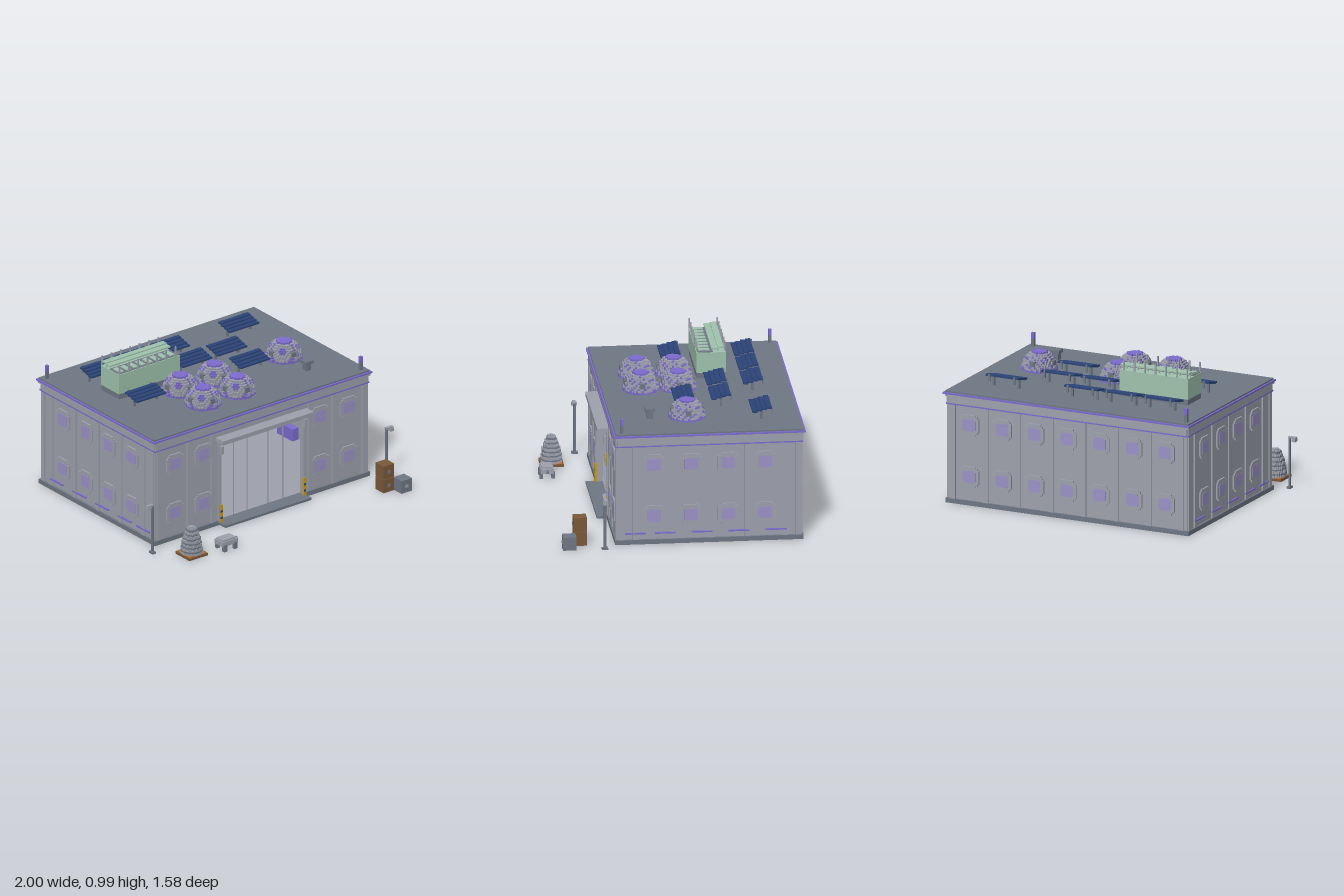
import * as THREE from 'three';
import { mergeGeometries } from 'three/addons/utils/BufferGeometryUtils.js';

const mat = (name, color) => Object.assign(new THREE.MeshStandardMaterial({ color }), { name });
const M = {
  wall: mat('wallGrey', 0x9fa2ae), steel: mat('darkSteel', 0x6f7885), purple: mat('purpleTrim', 0x7d6cd0),
  glass: mat('lavenderGlass', 0x9d93c8), navy: mat('navyPanel', 0x2c4478), green: mat('paleGreen', 0xa0c4ae),
  brown: mat('crateBrown', 0x7b5a3a), yellow: mat('safetyYellow', 0xd09c0c), orange: mat('orange', 0xc4733a),
  floor: mat('floorGrey', 0x9c9c9c),
};

function add(parent, name, geo, material, x = 0, y = 0, z = 0) {
  const m = new THREE.Mesh(geo, material);
  m.name = name;
  m.position.set(x, y, z);
  parent.add(m);
  return m;
}
// Box given by its limits on each axis
const span = (p, name, m, x0, x1, y0, y1, z0, z1) =>
  add(p, name, new THREE.BoxGeometry(x1 - x0, y1 - y0, z1 - z0), m, (x0 + x1) / 2, (y0 + y1) / 2, (z0 + z1) / 2);
// Box given by centre, size and the height of its underside
const block = (p, name, m, x, y, z, w, h, d) => span(p, name, m, x - w / 2, x + w / 2, y, y + h, z - d / 2, z + d / 2);
function group(parent, name, x = 0, y = 0, z = 0, ry = 0) {
  const g = new THREE.Group();
  g.name = name;
  g.position.set(x, y, z);
  g.rotation.y = ry;
  parent.add(g);
  return g;
}

// Stepped window seen on both faces of the wall
function addWindow(p, x, y) {
  const g = group(p, 'window', x, y, -0.015);
  for (const [w, h] of [[0.09, 0.138], [0.136, 0.092], [0.114, 0.116]]) add(g, 'frame', new THREE.BoxGeometry(w, h, 0.052), M.wall);
  add(g, 'pane', new THREE.BoxGeometry(0.09, 0.064, 0.056), M.glass);
  add(g, 'pane', new THREE.BoxGeometry(0.074, 0.08, 0.056), M.glass);
}

// Wall facing +z in its own frame, with an optional doorway of half-width door
function addWall(p, name, length, windows, ribs, door = 0) {
  const h = length / 2, g = group(p, name);
  for (const s of [-1, 1]) {
    const [a, b] = [s * door, s * h].sort((q, r) => q - r), e = s * (h + 0.012);
    span(g, 'panel', M.wall, a, b, 0.01, 0.725, -0.03, 0);
    span(g, 'plinth', M.steel, Math.min(a, e), Math.max(b, e), 0, 0.03, -0.01, 0.014);
  }
  if (door) span(g, 'header', M.wall, -door, door, 0.58, 0.725, -0.03, 0);
  span(g, 'topRail', M.wall, -h, h, 0.667, 0.725, 0, 0.01);
  span(g, 'trimLine', M.purple, -h - 0.01, h + 0.01, 0.658, 0.667, 0, 0.011);
  for (const x of ribs) span(g, 'rib', M.wall, x - 0.017, x + 0.017, 0.03, 0.658, -0.04, 0.01);
  for (const x of windows) for (const y of [0.19, 0.535]) addWindow(g, x, y);
  return g;
}

// Hollow heap of small cubes: radiusAt(height) gives its outline, colourOf picks a material name
function addCubes(p, name, size, height, radiusAt, colourOf) {
  const parts = {}, layers = Math.round(height / size);
  const inside = (i, j, k) => j < layers && Math.hypot(i, k) * size <= radiusAt((j + 0.5) * size);
  for (let j = 0; j < layers; j++) for (let i = -9; i <= 9; i++) for (let k = -9; k <= 9; k++) {
    if (!inside(i, j, k)) continue;
    const hidden = inside(i + 1, j, k) && inside(i - 1, j, k) && inside(i, j, k + 1) && inside(i, j, k - 1) && inside(i, j + 1, k);
    if (hidden) continue;
    const box = new THREE.BoxGeometry(size, size, size).translate(i * size, (j + 0.5) * size, k * size);
    (parts[colourOf(i, j, k)] ??= []).push(box);
  }
  for (const key in parts) add(p, name, mergeGeometries(parts[key]), M[key]);
}

// Roof dome, purple at the rim, on scattered cubes and at the crown
function addDome(p, x, z) {
  const g = group(p, 'roofDome', x, 0.748, z);
  addCubes(g, 'domeCubes', 0.0122, 0.122, y => 0.112 * Math.sqrt(Math.max(0, 1 - (y / 0.128) ** 2)) + 0.002,
    (i, j, k) => {
      const r = Math.hypot(i, k);
      return j === 0 || j === 9 || (r > 2 && r < 3) || (i * 5 + j * 3 + k * 7 + 700) % 4 === 0 ? 'purple' : 'wall';
    });
  for (let a = 0; a < 4; a++) {
    const s = group(g, 'buttress', 0, 0, 0, a * Math.PI / 2);
    span(s, 'buttressBlock', M.steel, -0.018, 0.018, 0, 0.07, 0.08, 0.108);
  }
}

// Stepped solar panel on two posts, rising towards the back
function addSolar(p, x, z) {
  const g = group(p, 'solarPanel', x, 0, z);
  for (let i = 0; i < 4; i++) block(g, 'panelStrip', M.navy, 0, 0.8 + i * 0.008, 0.048 - i * 0.031, 0.24, 0.011, 0.032);
  for (const s of [-1, 1]) {
    block(g, 'post', M.steel, s * 0.09, 0.745, 0, 0.014, 0.06, 0.014);
    block(g, 'clamp', M.steel, s * 0.09, 0.79, -0.065, 0.012, 0.05, 0.008);
  }
}

// Bell-shaped mound on a square tray
function addMound(p, x, z, tray, trayHeight, colours) {
  const g = group(p, 'mound', x, 0, z);
  block(g, 'tray', M[tray], 0, 0.001, 0, 0.15, trayHeight, 0.15);
  const heap = group(g, 'heap', 0, trayHeight, 0);
  addCubes(heap, 'heapCubes', 0.0092, 0.184, y => 0.069 * Math.sqrt(Math.max(0, 1 - (y / 0.19) ** 1.6)),
    (i, j) => colours[j % colours.length]);
  return g;
}

export function createModel() {
  const root = new THREE.Group();
  root.name = 'baseStation';
  const X = 0.862, ZF = 0.422, ZB = -0.768, ZC = (ZF + ZB) / 2, D = ZF - ZB;

  // Floor and walls
  span(root, 'foundation', M.floor, -X + 0.01, X - 0.01, 0.005, 0.012, ZB + 0.01, ZF - 0.01);
  span(root, 'floor', M.wall, -X + 0.03, X - 0.03, 0.012, 0.018, ZB + 0.03, ZF);
  span(root, 'floorLight', M.purple, X - 0.036, X - 0.012, 0.003, 0.022, -0.15, ZF - 0.012);
  span(root, 'floorLight', M.purple, 0.42, X - 0.036, 0.003, 0.022, ZF - 0.034, ZF - 0.012);
  const row = [-3, -2, -1, 0, 1, 2, 3].map(i => i * 0.235);
  const front = addWall(root, 'frontWall', 2 * X, [-0.705, -0.475, 0.475, 0.705], [-0.835, -0.59, -0.395, 0.395, 0.59, 0.835], 0.338);
  front.position.z = ZF;
  const back = addWall(root, 'backWall', 2 * X, row, [-3.5, -2.5, -1.5, -0.5, 0.5, 1.5, 2.5, 3.5].map(i => i * 0.235));
  back.position.z = ZB;
  back.rotation.y = Math.PI;
  for (const s of [-1, 1]) {
    // Local x on a side wall runs along -s * z
    const local = z => -s * (z - ZC);
    const w = addWall(root, s > 0 ? 'leftWall' : 'rightWall', D, [0.185, -0.055, -0.295, -0.535].map(local),
      [0.4, 0.305, 0.065, -0.175, -0.415, -0.66, -0.745].map(local));
    w.position.set(s * X, 0, ZC);
    w.rotation.y = s * Math.PI / 2;
    for (const x of [0.305, 0.11, -0.125, -0.365, -0.605].map(local)) span(w, 'lowStripe', M.purple, x - 0.068, x + 0.068, 0.067, 0.076, 0, 0.0115);
  }

  // Roof slab with purple rim
  span(root, 'cornice', M.wall, -0.878, 0.878, 0.71, 0.727, -0.783, 0.436);
  span(root, 'roofRim', M.purple, -0.888, 0.888, 0.727, 0.738, -0.795, 0.443);
  span(root, 'roofSlab', M.steel, -0.876, 0.876, 0.73, 0.748, -0.783, 0.431);
  for (const [x, z] of [[-0.84, -0.74], [0.835, 0.39]]) {
    block(root, 'roofBeacon', M.steel, x, 0.748, z, 0.02, 0.05, 0.02);
    block(root, 'roofBeaconTop', M.purple, x, 0.798, z, 0.02, 0.042, 0.02);
  }

  // Doorway
  span(root, 'canopy', M.wall, -0.37, 0.37, 0.592, 0.62, ZF, 0.5);
  span(root, 'threshold', M.steel, -0.35, 0.35, 0.002, 0.018, ZF - 0.03, 0.5);
  for (const x of [-0.2, -0.09, 0.08, 0.2]) block(root, 'mullion', M.wall, x, 0.018, 0.39, 0.006, 0.562, 0.006);
  for (const s of [-1, 1]) {
    block(root, 'doorJamb', M.wall, s * 0.345, 0.018, ZF, 0.022, 0.575, 0.03);
    block(root, 'canopyBracket', M.wall, s * 0.34, 0.505, 0.444, 0.022, 0.055, 0.026);
    block(root, 'doorGuard', M.yellow, s * 0.338, 0.012, 0.438, 0.018, 0.13, 0.016);
    for (const y of [0.045, 0.09]) block(root, 'guardStripe', M.navy, s * 0.338, y, 0.4465, 0.018, 0.014, 0.002);
  }

  // Roof equipment
  for (const [x, z] of [[-0.285, -0.06], [-0.005, -0.06], [0.56, -0.06], [-0.285, 0.18], [-0.005, 0.18]]) addDome(root, x, z);
  for (const [x, z] of [[-0.565, -0.535], [-0.285, -0.535], [-0.005, -0.535], [0.56, -0.535],
    [-0.005, -0.3], [0.28, -0.3], [-0.565, -0.06], [0.28, -0.06]]) addSolar(root, x, z);
  block(root, 'ventStem', M.steel, 0.56, 0.748, 0.18, 0.04, 0.05, 0.04);
  block(root, 'ventCap', M.steel, 0.56, 0.795, 0.18, 0.062, 0.022, 0.062);

  // Rooftop planter house
  const gh = group(root, 'planterHouse');
  span(gh, 'base', M.steel, -0.672, -0.182, 0.748, 0.785, -0.386, -0.2);
  span(gh, 'body', M.green, -0.675, -0.18, 0.785, 0.922, -0.388, -0.198);
  span(gh, 'deck', M.steel, -0.67, -0.185, 0.922, 0.926, -0.305, -0.206);
  span(gh, 'lid', M.green, -0.675, -0.18, 0.949, 0.959, -0.375, -0.335);
  span(gh, 'lidLip', M.green, -0.675, -0.18, 0.941, 0.951, -0.335, -0.295);
  for (let i = 0; i < 8; i++) block(gh, 'bar', M.green, -0.64 + i * 0.059, 0.924, -0.25, 0.034, 0.008, 0.07);
  for (let i = 0; i < 7; i++) {
    const x = -0.667 + i * 0.076;
    block(gh, 'frontPost', M.wall, x, 0.922, -0.203, 0.009, 0.068, 0.009);
    block(gh, 'backPost', M.wall, x, 0.922, -0.384, 0.009, 0.068, 0.009);
    block(gh, 'lidProp', M.green, x, 0.922, -0.34, 0.008, 0.028, 0.008);
  }

  // Lamp posts
  for (const s of [-1, 1]) {
    const g = group(root, 'lampPost', s * 0.952, 0, 0.51);
    block(g, 'foot', M.steel, 0, 0, 0, 0.026, 0.014, 0.04);
    block(g, 'pole', M.steel, 0, 0.01, 0, 0.012, 0.33, 0.016);
    block(g, 'arm', M.wall, s * 0.021, 0.335, 0, 0.054, 0.012, 0.022);
    block(g, 'lamp', M.wall, s * 0.034, 0.316, 0, 0.026, 0.022, 0.034);
  }

  // Outdoor crates
  for (const y of [0, 0.096]) {
    block(root, 'brownCrate', M.brown, 0.822, y, 0.66, 0.086, 0.092, 0.086);
    block(root, 'crateLatch', M.steel, 0.822, y + 0.035, 0.705, 0.02, 0.02, 0.008);
  }
  block(root, 'greyCrate', M.steel, 0.908, 0, 0.737, 0.086, 0.088, 0.086);
  block(root, 'crateLatch', M.wall, 0.908, 0.034, 0.781, 0.02, 0.02, 0.006);

  // Mound and rover by the door
  const mound = addMound(root, -0.765, 0.68, 'brown', 0.016, ['wall', 'wall', 'steel']);
  block(mound, 'trayInlay', M.orange, 0, 0.017, 0, 0.13, 0.003, 0.13);
  const rover = group(root, 'rover', -0.525, 0, 0.735);
  block(rover, 'body', M.wall, 0, 0.035, 0, 0.125, 0.032, 0.085);
  block(rover, 'topPlate', M.wall, -0.005, 0.067, 0, 0.1, 0.01, 0.07);
  block(rover, 'nose', M.steel, 0.072, 0.044, 0, 0.022, 0.014, 0.016);
  for (const x of [-0.042, 0.04]) for (const z of [-0.038, 0.038]) block(rover, 'leg', M.steel, x, 0, z, 0.026, 0.045, 0.022);

  // Crane beam and hanging lamp inside
  span(root, 'craneBeam', M.steel, -0.82, 0.82, 0.512, 0.56, -0.2, -0.15);
  span(root, 'craneEdge', M.yellow, -0.82, 0.82, 0.502, 0.512, -0.2, -0.148);
  block(root, 'lampHousing', M.wall, 0, 0.462, -0.175, 0.15, 0.04, 0.1);
  const lens = add(root, 'hangingLamp', new THREE.SphereGeometry(0.08, 16, 6, 0, Math.PI * 2, 0, Math.PI / 2), M.glass, 0, 0.462, -0.175);
  lens.scale.y = 0.4;
  lens.rotation.x = Math.PI;

  // Indoor furniture
  addMound(root, -0.59, -0.12, 'yellow', 0.04, ['steel', 'wall']);
  block(root, 'locker', M.navy, -0.312, 0.13, -0.6, 0.032, 0.15, 0.1);
  block(root, 'lockerStand', M.steel, -0.312, 0.018, -0.6, 0.022, 0.112, 0.08);
  block(root, 'bench', M.navy, -0.21, 0.045, -0.55, 0.075, 0.035, 0.08);
  block(root, 'monitor', M.navy, -0.215, 0.11, -0.58, 0.035, 0.025, 0.02);
  block(root, 'monitorStem', M.steel, -0.215, 0.08, -0.58, 0.01, 0.03, 0.01);
  const shelf = group(root, 'shelf', 0.15, 0, -0.6);
  for (const s of [-1, 1]) block(shelf, 'upright', M.wall, s * 0.097, 0.018, 0, 0.01, 0.235, 0.06);
  for (const y of [0.04, 0.105, 0.165, 0.243]) block(shelf, 'board', M.wall, 0, y, 0, 0.2, 0.009, 0.06);
  for (let i = 0; i < 6; i++) block(shelf, 'jar', M.steel, -0.05 + i * 0.024, 0.174, 0, 0.014, 0.025 + (i % 3) * 0.012, 0.03);
  for (const x of [-0.065, 0.06]) block(shelf, 'orangeBox', M.orange, x, 0.049, 0, 0.045, 0.028, 0.045);
  block(root, 'orangeBox', M.orange, 0.4, 0.002, -0.52, 0.06, 0.055, 0.05);
  block(root, 'storageCrate', M.brown, 0.7, 0.002, 0.3, 0.085, 0.1, 0.085);
  block(root, 'storageCrate', M.orange, 0.69, 0.002, 0.21, 0.07, 0.08, 0.07);
  block(root, 'storageCrate', M.navy, 0.6, 0.002, 0.25, 0.07, 0.07, 0.07);
  block(root, 'purpleCabinet', M.purple, 0.8, 0.002, -0.33, 0.05, 0.1, 0.16);
  block(root, 'workbench', M.brown, -0.6, 0.002, 0.16, 0.1, 0.06, 0.1);
  for (const z of [-0.5, -0.4, -0.3, -0.2]) block(root, 'wallLocker', M.steel, -0.78, 0.002, z, 0.06, 0.13, 0.07);
  for (const x of [-0.71, -0.64]) add(root, 'drum', new THREE.CylinderGeometry(0.025, 0.025, 0.07, 12), M.yellow, x, 0.038, 0.32);
  return root;
}
